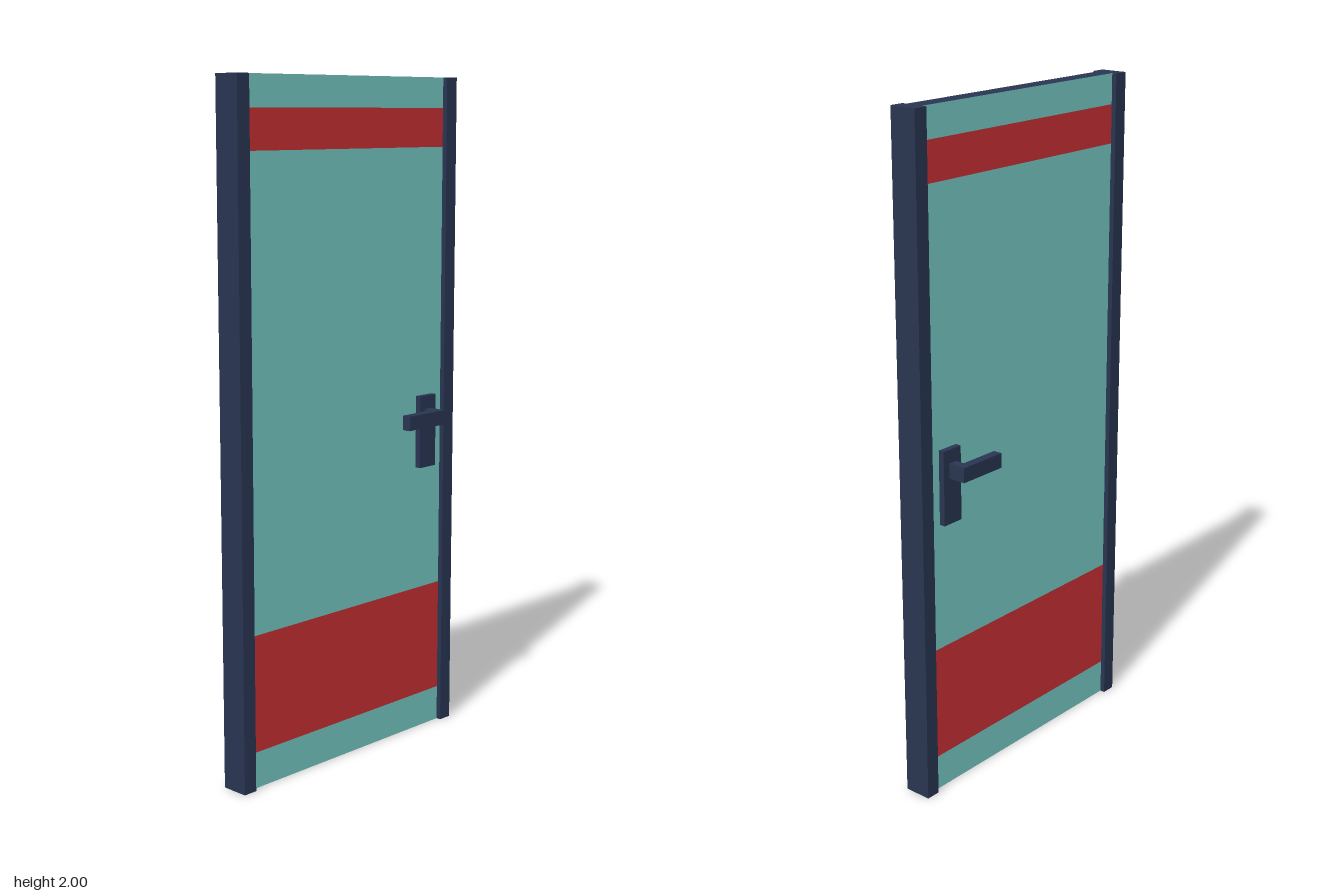
import * as THREE from 'three';

const material = (color) => new THREE.MeshStandardMaterial({ color, flatShading: true });

export function createModel() {
  const door = new THREE.Group();
  door.name = 'door';
  const navy = material(0x293652);
  const teal = material(0x76cac5);
  const red = material(0xca3034);

  const add = (name, geometry, mat, x, y, z) => {
    const mesh = new THREE.Mesh(geometry, mat);
    mesh.name = name;
    mesh.position.set(x, y, z);
    door.add(mesh);
    return mesh;
  };

  const halfWidth = 0.4, halfDepth = 0.027, height = 2;

  // Upright posts along both edges
  for (const side of [-1, 1]) {
    add(side > 0 ? 'leftPost' : 'rightPost',
      new THREE.BoxGeometry(0.044, height, 0.084), navy, side * 0.422, height / 2, 0);
  }

  // Dark top and bottom edges of the panel
  for (const side of [-1, 1]) {
    const edge = add(side > 0 ? 'topEdge' : 'bottomEdge',
      new THREE.PlaneGeometry(2 * halfWidth, 2 * halfDepth), navy, 0, side > 0 ? height : 0, 0);
    edge.rotation.x = -side * Math.PI / 2;
  }

  // Panel faces in flush coloured bands: name, bottom, top, material
  const bands = [
    ['bottomPanel', 0, 0.107, teal],
    ['kickBand', 0.107, 0.452, red],
    ['mainPanel', 0.452, 1.797, teal],
    ['upperBand', 1.797, 1.911, red],
    ['topPanel', 1.911, height, teal],
  ];

  for (const side of [1, -1]) {
    const face = side > 0 ? 'front' : 'back';
    for (const [name, y0, y1, mat] of bands) {
      const band = add(`${name} ${face}`, new THREE.PlaneGeometry(2 * halfWidth, y1 - y0),
        mat, 0, (y0 + y1) / 2, side * halfDepth);
      if (side < 0) band.rotation.y = Math.PI;
    }

    // Handle backplate
    add(`handlePlate ${face}`, new THREE.BoxGeometry(0.07, 0.221, 0.018), navy,
      0.324, 0.944, side * 0.036);

    // L-shaped lever: neck out of the plate, then the grip
    const outline = [[0.308, 0.045], [0.337, 0.045], [0.337, 0.1],
      [0.18, 0.1], [0.18, 0.073], [0.308, 0.073]];
    const shape = new THREE.Shape(outline.map(([x, z]) => new THREE.Vector2(x, side * z)));
    const lever = new THREE.ExtrudeGeometry(shape, { depth: 0.044, bevelEnabled: false });
    lever.rotateX(Math.PI / 2);
    add(`lever ${face}`, lever, navy, 0, 1.014, 0);
  }

  return door;
}
